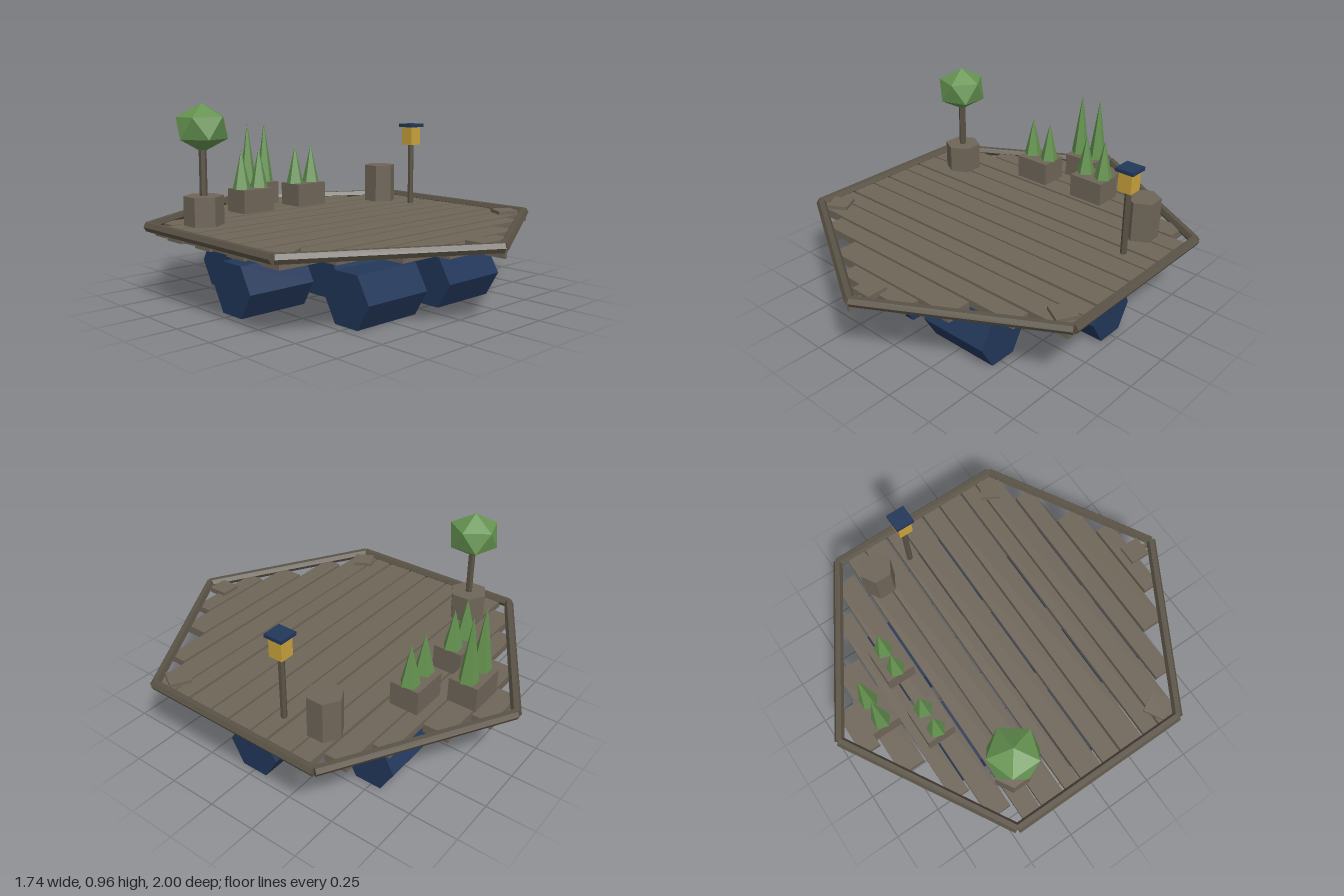
import * as THREE from 'three';

const mat = (name, color) => {
  const m = new THREE.MeshStandardMaterial({ color, flatShading: true });
  m.name = name;
  return m;
};

export function createModel() {
  const wood = mat('weathered wood', 0x6e6558);
  const darkWood = mat('dark wood', 0x5a5245);
  const navy = mat('navy blue', 0x22375a);
  const green = mat('leaf green', 0x659350);
  const amber = mat('lantern amber', 0xc9a23c);

  const model = new THREE.Group();
  model.name = 'raft';
  const add = (name, geometry, material, x, y, z, ry = 0) => {
    const mesh = new THREE.Mesh(geometry, material);
    mesh.name = name;
    mesh.position.set(x, y, z);
    mesh.rotation.y = ry;
    model.add(mesh);
    return mesh;
  };
  const box = (w, h, d) => new THREE.BoxGeometry(w, h, d);
  const prism = (r, h, n = 6) => new THREE.CylinderGeometry(r, r, h, n);

  // Seven hexagonal floats lying along x, in rows of 2, 3 and 2
  const floatGeo = prism(0.141, 0.37).rotateZ(Math.PI / 2);
  for (const [z, xs] of [[0.482, [-0.265, 0.265]], [0, [-0.525, 0, 0.525]], [-0.482, [-0.265, 0.265]]])
    for (const x of xs) add('float', floatGeo, navy, x, 0.124, z);

  // Deck planks: [back z, front z, half length], alternating thickness
  const planks = [
    [-0.92, -0.82, 0.125], [-0.81, -0.68, 0.315], [-0.67, -0.58, 0.56], [-0.57, -0.455, 0.735],
    [-0.44, -0.34, 0.838], [-0.33, -0.205, 0.838], [-0.19, -0.105, 0.838], [-0.095, 0.027, 0.838],
    [0.04, 0.14, 0.838], [0.15, 0.278, 0.838], [0.293, 0.38, 0.838], [0.39, 0.51, 0.838],
    [0.525, 0.62, 0.63], [0.633, 0.76, 0.388], [0.772, 0.86, 0.215], [0.88, 0.99, 0.008],
  ];
  planks.forEach(([z0, z1, half], i) => {
    const bottom = i % 2 ? 0.322 : 0.33;
    add('plank', box(half * 2, 0.366 - bottom, z1 - z0), wood, 0, (0.366 + bottom) / 2, (z0 + z1) / 2);
  });

  // Six-sided rim of hexagonal poles
  const R = 0.978;
  const railGeo = prism(0.025, R).rotateZ(Math.PI / 2);
  for (let k = 0; k < 6; k++) {
    const a = Math.PI / 6 + k * Math.PI / 3, d = R * Math.cos(Math.PI / 6);
    add('rimPole', railGeo, darkWood, d * Math.sin(a), 0.368, d * Math.cos(a), a);
  }

  // Corner blocks on the three front corners
  for (const k of [-1, 0, 1]) {
    const a = k * Math.PI / 3;
    add('cornerBlock', box(0.107, 0.03, 0.107), wood, 0.865 * Math.sin(a), 0.369, 0.865 * Math.cos(a), a);
  }

  // Planter boxes, each with a pair of conical shrubs
  for (const [x, z, spread, h] of [[-0.187, -0.55, 0.058, 0.21], [0.183, -0.55, 0.058, 0.21], [0, -0.747, 0.059, 0.34]]) {
    add('planterBox', box(0.197, 0.126, 0.15), wood, x, 0.427, z);
    for (const s of [-1, 1])
      add('shrub', new THREE.ConeGeometry(0.05, h, 5), green, x + s * spread, 0.49 + h / 2, z - 0.004);
  }

  // Round-headed tree in a hexagonal tub
  add('treeTub', prism(0.098, 0.148), wood, -0.612, 0.436, -0.36);
  add('treeTrunk', prism(0.019, 0.27), darkWood, -0.612, 0.635, -0.36);
  const crown = new THREE.IcosahedronGeometry(0.138, 0)
    .rotateX(-Math.atan((1 + Math.sqrt(5)) / 2)).rotateY(Math.PI / 2).scale(1, 0.86, 1);
  add('treeCrown', crown, green, -0.612, 0.84, -0.36);

  // Hexagonal barrel
  add('barrel', prism(0.088, 0.211), wood, 0.612, 0.469, -0.363);

  // Lantern on a post
  add('lanternPost', prism(0.016, 0.34), darkWood, 0.653, 0.532, -0.155);
  add('lantern', box(0.073, 0.1, 0.073), amber, 0.653, 0.752, -0.155);
  add('lanternRoof', box(0.098, 0.018, 0.098), navy, 0.653, 0.811, -0.155);

  return model;
}
